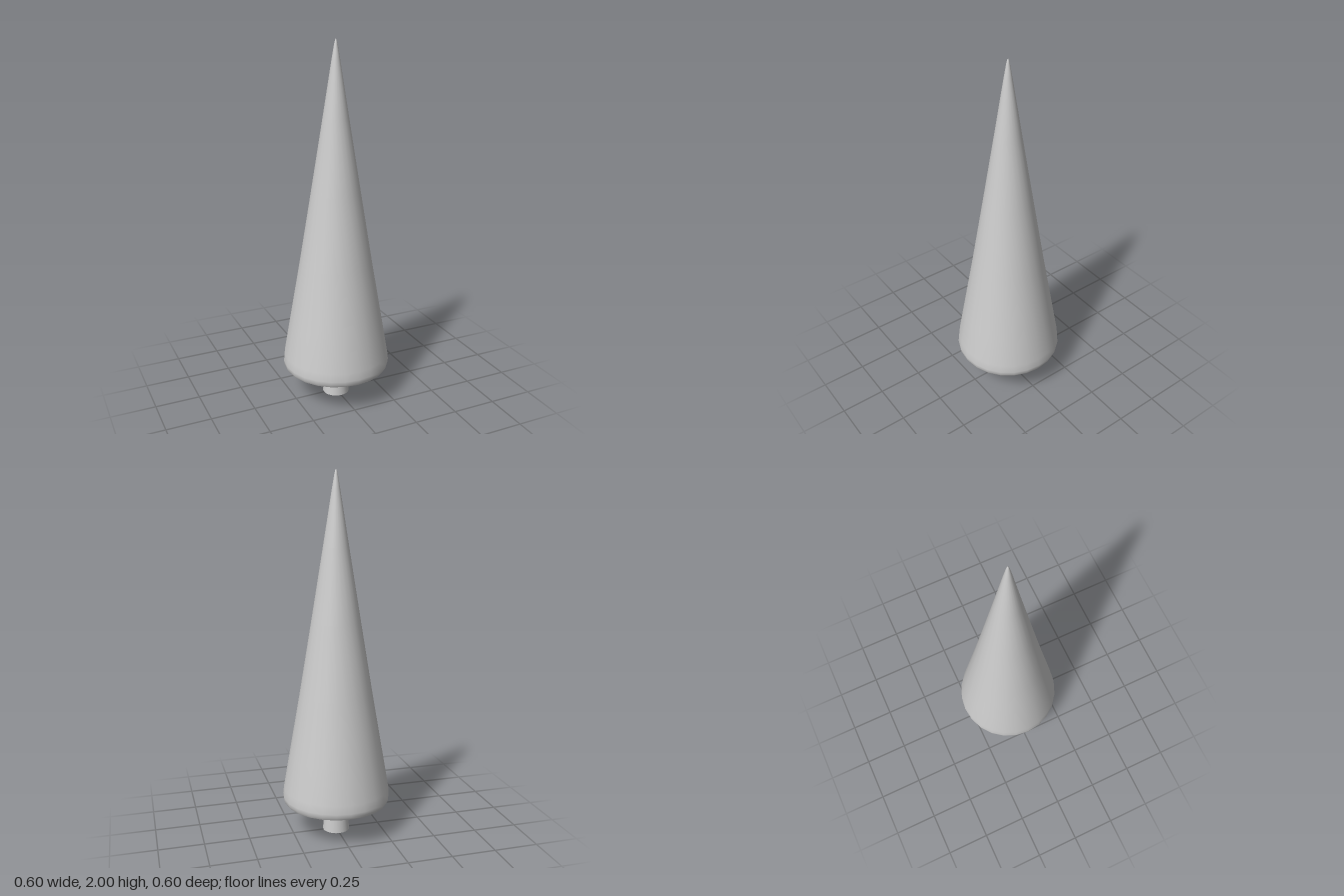
import * as THREE from 'three';

const SIDES = 24;

export function createModel() {
  const tree = new THREE.Group();
  tree.name = 'coniferTree';
  const material = new THREE.MeshStandardMaterial({ color: 0xcccccc });
  const add = (name, geometry, y = 0) => {
    const mesh = new THREE.Mesh(geometry, material);
    mesh.name = name;
    mesh.position.y = y;
    tree.add(mesh);
    return mesh;
  };

  // Tapered trunk
  add('trunk', new THREE.CylinderGeometry(0.058, 0.075, 0.2, SIDES), 0.1);

  // Tall cone with a tucked-in rim and a softly rounded tip
  const profile = [
    [0.29, 0.18], [0.298, 0.195], [0.3, 0.215], [0.295, 0.26],
    [0.262, 0.45], [0.201, 0.8], [0.135, 1.2], [0.07, 1.6],
    [0.022, 1.9], [0.009, 1.975], [0.004, 1.994], [0, 2],
  ].map(([r, y]) => new THREE.Vector2(r, y));
  add('foliage', new THREE.LatheGeometry(profile, SIDES));

  // Flat underside closing the cone
  const underside = add('foliageUnderside', new THREE.CircleGeometry(0.29, SIDES), 0.18);
  underside.rotation.x = Math.PI / 2;

  return tree;
}
